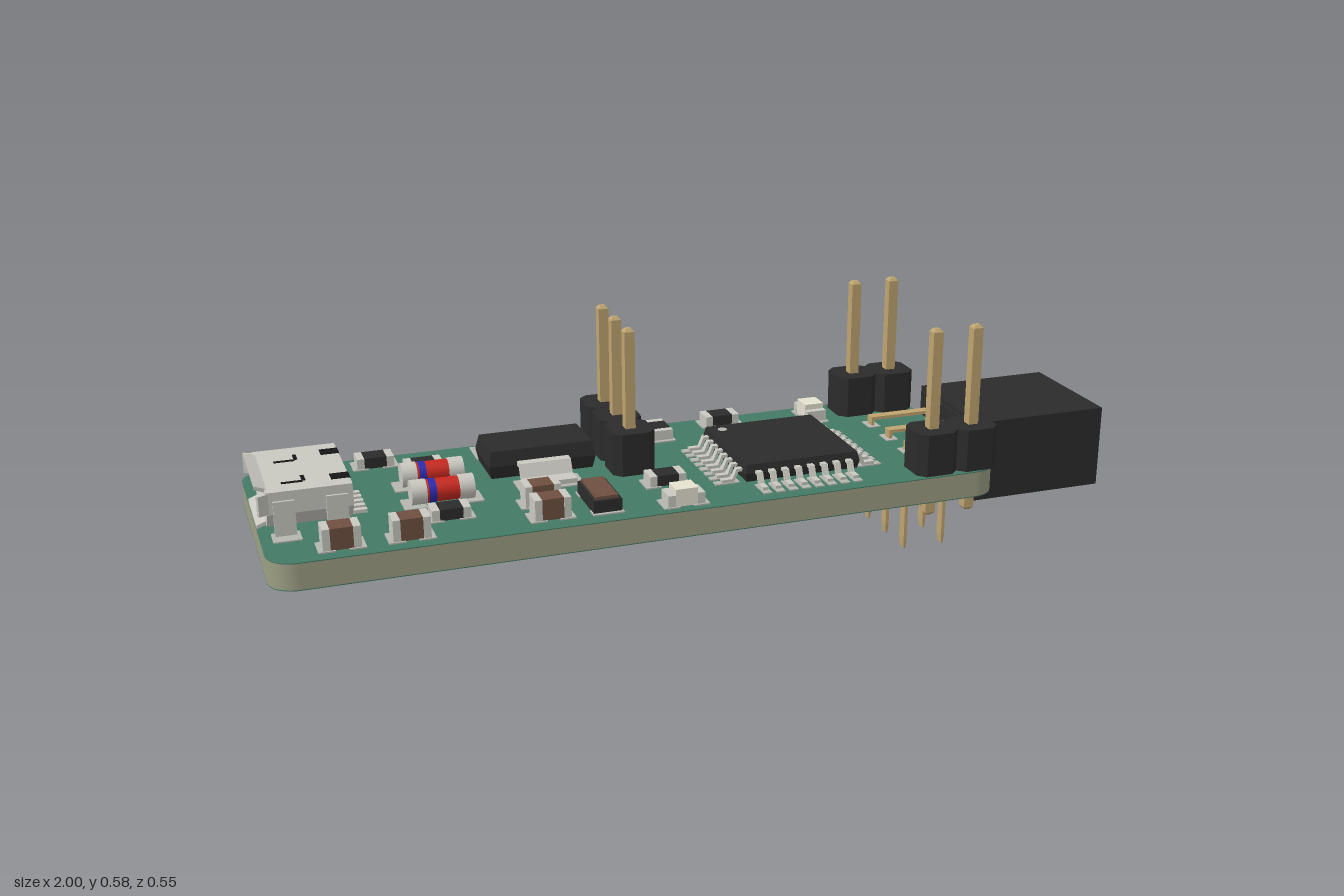
import * as THREE from 'three';

const TOP = 0.246; // upper surface of the board
const COLORS = {
  mask: 0x437a66, core: 0x9c9f84, black: 0x2b2b2b, gold: 0xbfa470, silver: 0xc9c8c0, pad: 0xb4b6ae,
  brown: 0x6e5040, white: 0xe6e2d2, red: 0xc8281e, blue: 0x2a2ab0, dark: 0x151515,
};
const mats = {};
for (const k in COLORS) {
  mats[k] = new THREE.MeshStandardMaterial({ color: COLORS[k], side: THREE.DoubleSide });
}

function add(parent, name, geo, mat, x = 0, y = 0, z = 0) {
  const m = new THREE.Mesh(geo, mats[mat]);
  m.name = name;
  m.position.set(x, y, z);
  parent.add(m);
  return m;
}
const box = (p, name, mat, w, h, d, x, y, z) => add(p, name, new THREE.BoxGeometry(w, h, d), mat, x, y, z);
function group(parent, name, x = 0, y = 0, z = 0, turn = 0) {
  const g = new THREE.Group();
  g.name = name;
  g.position.set(x, y, z);
  g.rotation.y = turn;
  parent.add(g);
  return g;
}
const polygon = (pts) => new THREE.Shape(pts.map(([x, y]) => new THREE.Vector2(x, y)));
const extrude = (shape, depth) => new THREE.ExtrudeGeometry(shape, { depth, bevelEnabled: false, curveSegments: 8 });
const extrudeUp = (shape, depth) => extrude(shape, depth).rotateX(-Math.PI / 2);
const extrudeX = (shape, depth) => extrude(shape, depth).rotateY(Math.PI / 2);

// Box whose top is inset on all sides
function taperedBox(w, h, d, inset) {
  const g = new THREE.BoxGeometry(w, h, d), p = g.attributes.position;
  for (let i = 0; i < p.count; i++) {
    if (p.getY(i) > 0) p.setXYZ(i, p.getX(i) * (1 - 2 * inset / w), p.getY(i), p.getZ(i) * (1 - 2 * inset / d));
  }
  g.computeVertexNormals();
  return g;
}

function roundedRect(x0, y0, x1, y1, r) {
  const s = new THREE.Shape();
  s.moveTo(x0 + r, y0);
  s.lineTo(x1 - r, y0); s.absarc(x1 - r, y0 + r, r, -Math.PI / 2, 0);
  s.lineTo(x1, y1 - r); s.absarc(x1 - r, y1 - r, r, 0, Math.PI / 2);
  s.lineTo(x0 + r, y1); s.absarc(x0 + r, y1 - r, r, Math.PI / 2, Math.PI);
  s.lineTo(x0, y0 + r); s.absarc(x0 + r, y0 + r, r, Math.PI, Math.PI * 1.5);
  return s;
}

// Straight pin with chamfered ends
function pin(parent, x, z, y0, y1, w = 0.024, tx = w, taper = 0.007, topTaper = 0.007) {
  const g = group(parent, 'pin', x, 0, z);
  box(g, 'pinShaft', 'gold', tx, y1 - y0 - taper - topTaper, w, 0, (y0 + taper + y1 - topTaper) / 2, 0);
  add(g, 'pinTip', taperedBox(tx, taper, w, tx * 0.25).rotateX(Math.PI), 'gold', 0, y0 + taper / 2, 0);
  if (topTaper) add(g, 'pinTop', taperedBox(tx, topTaper, w, tx * 0.25), 'gold', 0, y1 - topTaper / 2, 0);
}

// Upright pin header: one eight-sided block and pin per position
function header(parent, name, positions) {
  const g = group(parent, name), a = 0.05, c = 0.032;
  const oct = polygon([[-c, -a], [c, -a], [a, -c], [a, c], [c, a], [-c, a], [-a, c], [-a, -c]]);
  for (const [x, z] of positions) {
    add(g, 'housing', extrudeUp(oct, 0.1), 'black', x, TOP, z);
    pin(g, x, z, 0.133, 0.582);
  }
}

// Bent lead: starts at height h, steps down to a foot at distance len
function lead(parent, len, h, w, t, x, z, turn) {
  const a = len * 0.3, b = len * 0.5;
  const s = polygon([[-0.01, h], [a, h], [b, t], [len, t], [len, 0], [b - t * 0.6, 0], [a - t * 0.6, h - t], [-0.01, h - t]]);
  const m = add(parent, 'lead', extrude(s, w).translate(0, 0, -w / 2), 'silver', x, 0.003, z);
  m.rotation.y = turn;
}

// Two-ended surface part lying along x
function chip(parent, name, x, z, turn, len, w, h, body, inset = 0) {
  const g = group(parent, name, x, TOP, z, turn), end = len * 0.2;
  box(g, 'body', body, len - 2 * end, h - inset, w - 0.002, 0, (h - inset) / 2 + 0.002, 0);
  for (const s of [-1, 1]) {
    box(g, 'endCap', 'silver', end, h - (inset ? 0.015 : 0), w, s * (len - end) / 2, (h - (inset ? 0.015 : 0)) / 2 + 0.002, 0);
    box(g, 'solderPad', 'pad', 0.036, 0.004, w + 0.008, s * (len / 2 - 0.008), 0.001, 0);
  }
}

function usbPort(parent) {
  const g = group(parent, 'usbPort', -0.98, TOP, -0.002);
  const outline = (k) => [[-0.13 + k, 0.1 - k], [-0.13 + k, 0.05], [-0.095 + k, 0.012 + k],
    [0.095 - k, 0.012 + k], [0.13 - k, 0.05], [0.13 - k, 0.1 - k]];
  const shell = polygon(outline(0));
  shell.holes.push(new THREE.Path(outline(0.009).map(([x, y]) => new THREE.Vector2(x, y))));
  add(g, 'shell', extrudeX(shell, 0.18), 'silver');
  add(g, 'backWall', extrudeX(polygon(outline(0.006)), 0.03), 'black', 0.14);
  box(g, 'tongue', 'black', 0.12, 0.018, 0.16, 0.085, 0.065, 0);
  // Flared lips around the mouth
  const lip = polygon([[0.005, 0.1], [-0.02, 0.109], [-0.02, 0.101], [0.005, 0.091]]);
  add(g, 'topLip', extrude(lip, 0.21).translate(0, 0, -0.105), 'silver');
  add(g, 'bottomLip', extrude(polygon([[0.005, 0.012], [-0.02, 0.003], [-0.02, 0.011], [0.005, 0.021]]), 0.16).translate(0, 0, -0.08), 'silver');
  for (const s of [-1, 1]) {
    const flap = box(g, 'sideLip', 'silver', 0.026, 0.045, 0.008, -0.007, 0.075, s * 0.131);
    flap.rotation.y = s * 0.45;
    for (const x of [0.035, 0.145]) {
      box(g, 'mountLeg', 'silver', 0.045, 0.08, 0.01, x, 0.04, s * 0.131);
      box(g, 'mountPad', 'pad', 0.06, 0.004, 0.05, x, 0.001, s * 0.14);
    }
    box(g, 'latchSlot', 'dark', 0.045, 0.003, 0.008, 0.06, 0.1, s * 0.065 + 0.018);
    box(g, 'latchSlot', 'dark', 0.008, 0.003, 0.03, 0.085, 0.1, s * 0.065);
    box(g, 'rearNotch', 'dark', 0.04, 0.003, 0.032, 0.161, 0.1, s * 0.078);
  }
  for (let i = -2; i <= 2; i++) box(g, 'contact', 'silver', 0.045, 0.008, 0.014, 0.195, 0.005, i * 0.026);
}

function microcontroller(parent) {
  const g = group(parent, 'microcontroller', 0.205, TOP, 0.04);
  add(g, 'lowerBody', taperedBox(0.28, 0.02, 0.28, 0.004).rotateX(Math.PI), 'black', 0, 0.017, 0);
  add(g, 'upperBody', taperedBox(0.28, 0.02, 0.28, 0.005), 'black', 0, 0.037, 0);
  add(g, 'pinOneDot', new THREE.CylinderGeometry(0.011, 0.011, 0.002, 16), 'pad', -0.105, 0.047, -0.105);
  for (let side = 0; side < 4; side++) {
    const edge = group(g, 'leadRow', 0, 0, 0, side * Math.PI / 2);
    for (let i = 0; i < 8; i++) {
      const z = (i - 3.5) * 0.0315;
      lead(edge, 0.05, 0.03, 0.014, 0.007, 0.138, z, 0);
      box(edge, 'solderPad', 'pad', 0.058, 0.004, 0.02, 0.175, 0.001, z);
    }
  }
}

function regulator(parent) {
  const g = group(parent, 'voltageRegulator', -0.348, TOP, -0.1);
  add(g, 'lowerBody', taperedBox(0.25, 0.03, 0.14, 0.006).rotateX(Math.PI), 'black', 0, 0.02, 0);
  add(g, 'upperBody', taperedBox(0.25, 0.034, 0.14, 0.008), 'black', 0, 0.052, 0);
  for (const x of [-0.09, 0, 0.09]) {
    lead(g, 0.075, 0.04, 0.03, 0.011, x, -0.068, Math.PI / 2);
    box(g, 'solderPad', 'pad', 0.06, 0.004, 0.085, x, 0.001, -0.12);
  }
  lead(g, 0.075, 0.04, 0.12, 0.011, 0, 0.068, -Math.PI / 2);
  box(g, 'tabPad', 'pad', 0.15, 0.004, 0.07, 0, 0.001, 0.12);
}

function diode(parent, z) {
  const g = group(parent, 'diode', -0.597, TOP + 0.029, z);
  for (const [name, mat, x, len, r] of [['endCap', 'silver', -0.053, 0.034, 0.028], ['endCap', 'silver', 0.053, 0.034, 0.028],
    ['glassBody', 'red', 0, 0.074, 0.026], ['band', 'blue', -0.023, 0.016, 0.0268]]) {
    add(g, name, new THREE.CylinderGeometry(r, r, len, 24).rotateZ(Math.PI / 2), mat, x);
  }
  for (const s of [-1, 1]) box(g, 'solderPad', 'pad', 0.05, 0.004, 0.062, s * 0.063, -0.028, 0);
}

// Angled socket with two rows of three funnel openings and bent legs
function socket(parent) {
  const g = group(parent, 'angledSocket');
  const face = polygon([[-0.149, 0.117], [0.149, 0.117], [0.149, 0.314], [-0.149, 0.314]]);
  box(g, 'housing', 'black', 0.305, 0.197, 0.298, 0.8175, 0.2155, 0);
  box(g, 'rearStep', 'black', 0.008, 0.16, 0.27, 0.661, 0.225, 0);
  [0.165, 0.265].forEach((y, row) => {
    const legX = row ? 0.505 : 0.605;
    for (const z of [-0.1, 0, 0.1]) {
      const h = 0.024;
      face.holes.push(new THREE.Path([[-h, -h], [-h, h], [h, h], [h, -h]].map(([a, b]) => new THREE.Vector2(a - z, b + y))));
      const funnel = new THREE.CylinderGeometry(h * Math.SQRT2, 0.015 * Math.SQRT2, 0.03, 4, 1, true).toNonIndexed();
      funnel.computeVertexNormals();
      funnel.rotateY(Math.PI / 4).rotateZ(-Math.PI / 2);
      add(g, 'funnel', funnel, 'black', 0.985, y, z);
      box(g, 'contact', 'gold', 0.004, 0.008, 0.024, 0.971, y, z);
      box(g, 'pinArm', 'gold', 0.67 - legX, 0.008, 0.024, (0.67 + legX) / 2, y, z);
      pin(g, legX, z, 0, y + 0.004, 0.024, 0.008, 0.022, 0);
      if (row) box(g, 'solderRing', 'pad', 0.03, 0.004, 0.045, legX, TOP, z);
    }
  });
  add(g, 'frontFace', extrudeX(face, 0.03), 'black', 0.97);
}

export function createModel() {
  const model = new THREE.Group();
  model.name = 'programmerBoard';

  // Laminate core with a coloured mask on both faces
  const board = group(model, 'circuitBoard');
  const outline = roundedRect(-1, -0.276, 0.657, 0.276, 0.06);
  add(board, 'core', extrudeUp(outline, 0.058), 'core', 0, 0.186, 0);
  add(board, 'topMask', extrudeUp(outline, 0.002), 'mask', 0, 0.244, 0);
  add(board, 'bottomMask', extrudeUp(outline, 0.002), 'mask', 0, 0.184, 0);

  usbPort(model);
  regulator(model);
  microcontroller(model);
  diode(model, -0.066);
  diode(model, 0.045);
  socket(model);
  header(model, 'threePinHeader', [-0.215, -0.114, -0.013].map((z) => [-0.147, z]));
  header(model, 'backHeader', [0.505, 0.605].map((x) => [x, -0.22]));
  header(model, 'frontHeader', [0.505, 0.605].map((x) => [x, 0.22]));

  // Small surface parts
  const q = Math.PI / 2;
  for (const [x, z, turn] of [[-0.845, -0.226, 0], [-0.7, -0.226, 0], [-0.6, -0.15, 0], [-0.6, 0.137, 0],
    [-0.017, -0.2, q], [0.155, -0.236, 0], [-0.1, 0.102, 0]]) {
    chip(model, 'resistor', x, z, turn, 0.085, 0.05, 0.025, 'black');
  }
  for (const [x, z] of [[-0.845, 0.218], [-0.7, 0.218], [-0.395, 0.127], [-0.395, 0.209]]) {
    chip(model, 'capacitor', x, z, 0, 0.08, 0.05, 0.048, 'brown');
  }
  for (const [x, z, turn] of [[0.385, -0.203, q], [-0.1, 0.229, 0]]) {
    chip(model, 'indicatorLight', x, z, turn, 0.085, 0.05, 0.042, 'white', 0.002);
  }
  const crystal = group(model, 'crystal', -0.273, TOP, 0.168);
  box(crystal, 'base', 'black', 0.064, 0.03, 0.13, 0, 0.016, 0);
  box(crystal, 'lid', 'brown', 0.05, 0.008, 0.115, 0, 0.034, 0);
  for (const s of [-1, 1]) box(crystal, 'solderPad', 'pad', 0.07, 0.004, 0.03, 0, 0.001, s * 0.058);
  return model;
}
